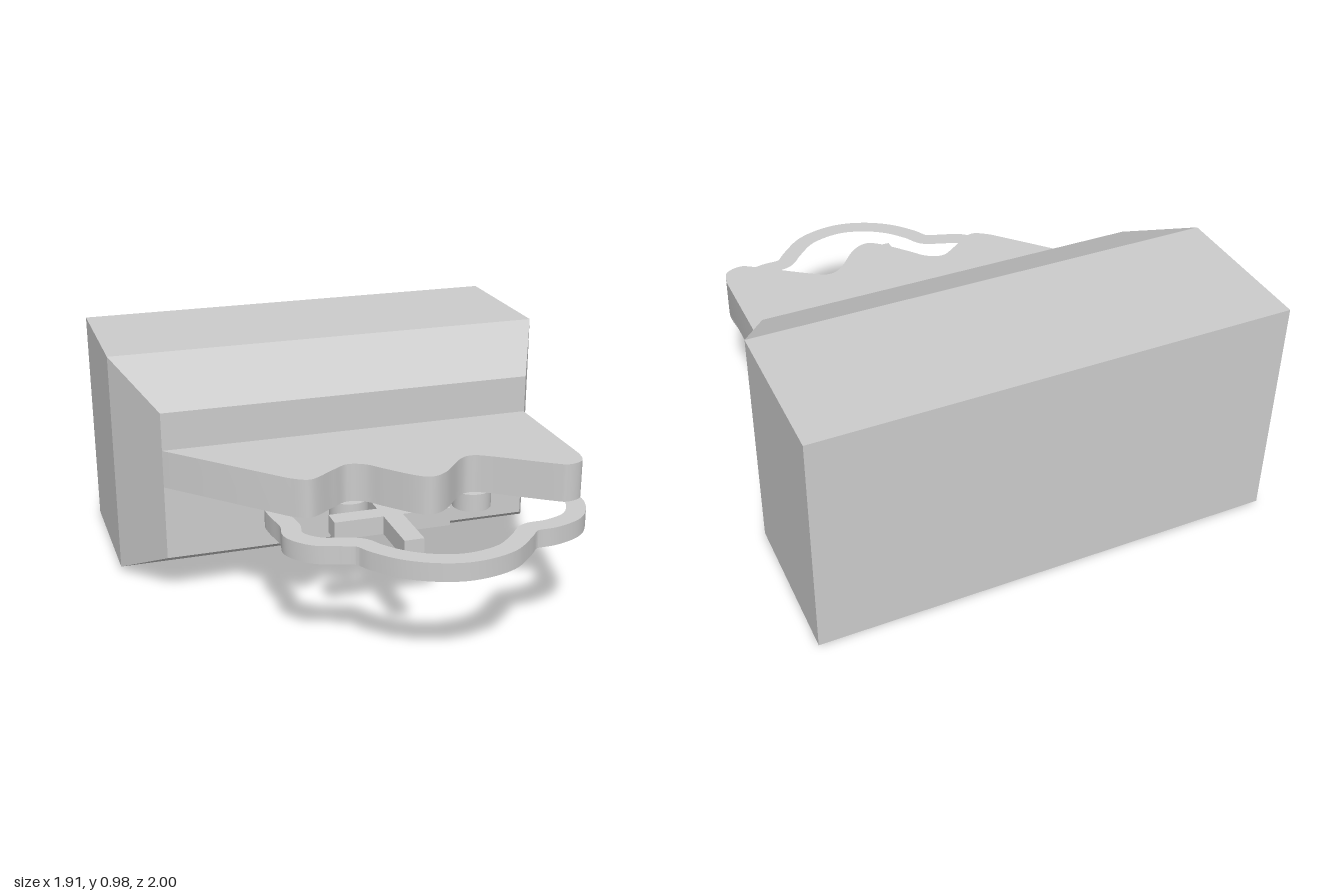
import * as THREE from 'three';
import { toCreasedNormals } from 'three/addons/utils/BufferGeometryUtils.js';

const material = new THREE.MeshStandardMaterial({ color: 0xcccccc });

function add(parent, name, geometry, x = 0, y = 0, z = 0) {
  const mesh = new THREE.Mesh(geometry, material);
  mesh.name = name;
  mesh.position.set(x, y, z);
  parent.add(mesh);
  return mesh;
}

const vectors = (pairs) => pairs.map(([x, z]) => new THREE.Vector2(x, z));

// Flat plate from an (x, z) outline, between two heights
function plate(outline, bottom, top, hole) {
  const shape = new THREE.Shape(outline);
  if (hole) shape.holes.push(new THREE.Path(hole));
  const geometry = new THREE.ExtrudeGeometry(shape, { depth: top - bottom, bevelEnabled: false });
  geometry.rotateX(Math.PI / 2).translate(0, top, 0);
  return toCreasedNormals(geometry, 0.6);
}

// Box whose front section tapers on all four sides
function bodyGeometry() {
  const box = new THREE.BoxGeometry(1.91, 0.96, 2, 1, 1, 2);
  const p = box.attributes.position;
  for (let i = 0; i < p.count; i++) {
    const z = p.getZ(i);
    if (z > 0.5) p.setXYZ(i, Math.sign(p.getX(i)) * 0.8, Math.sign(p.getY(i)) * 0.32, -0.045);
    else if (z > -0.5) p.setZ(i, -0.36);
  }
  const flat = box.toNonIndexed();
  flat.computeVertexNormals();
  return flat;
}

// Band of constant width along a closed lobed path
function lobedRing() {
  const path = new THREE.CatmullRomCurve3([
    [0.15, 0.96], [0.3, 0.925], [0.4, 0.84], [0.46, 0.78], [0.56, 0.77], [0.67, 0.72],
    [0.735, 0.6], [0.73, 0.45], [0.72, 0.32], [0.64, 0.21], [0.45, 0.13], [0.2, 0.045],
    [-0.05, 0.1], [-0.3, 0.2], [-0.42, 0.29], [-0.425, 0.36], [-0.41, 0.48], [-0.42, 0.57],
    [-0.36, 0.65], [-0.27, 0.685], [-0.2, 0.715], [-0.16, 0.78], [-0.08, 0.87], [0.03, 0.935],
  ].map(([x, z]) => new THREE.Vector3(x, 0, z)), true);
  const edges = [-0.039, 0.039].map((offset) => {
    const points = [];
    for (let i = 0; i < 160; i++) {
      const c = path.getPoint(i / 160), t = path.getTangent(i / 160);
      points.push(new THREE.Vector2(c.x - t.z * offset, c.z + t.x * offset));
    }
    return points;
  });
  const [outer, inner] = edges.sort((a, b) =>
    Math.abs(THREE.ShapeUtils.area(b)) - Math.abs(THREE.ShapeUtils.area(a)));
  return plate(outer, 0.425, 0.5, inner);
}

export function createModel() {
  const model = new THREE.Group();
  model.name = 'model';

  // Housing and base
  add(model, 'body', bodyGeometry(), 0, 0.5, 0);
  add(model, 'basePlate', new THREE.BoxGeometry(1.76, 0.03, 0.47), 0, 0.015, -0.675);

  // Slanted tongue with a wavy front edge
  const wave = new THREE.SplineCurve(vectors([
    [-0.39, 0.395], [-0.31, 0.435], [-0.2, 0.365], [-0.13, 0.325], [-0.06, 0.35], [0, 0.42],
    [0.09, 0.52], [0.15, 0.55], [0.22, 0.515], [0.31, 0.415], [0.37, 0.385], [0.44, 0.415],
    [0.65, 0.565], [0.71, 0.595], [0.775, 0.57], [0.797, 0.5],
  ])).getPoints(120);
  add(model, 'wavyTongue', plate(
    [...vectors([[0.797, -0.1], [-0.8, -0.1], [-0.8, -0.045]]), ...wave], 0.5, 0.66));

  // Lobed ring with the small pieces inside it
  add(model, 'lobedRing', lobedRing());
  const a = 0.04, l = 0.24, c = 0.47, f = 0.28;
  add(model, 'cross', plate(vectors([
    [-a, c - f], [a, c - f], [a, c - a], [l, c - a], [l, c + a], [a, c + a],
    [a, c + f], [-a, c + f], [-a, c + a], [-l, c + a], [-l, c - a], [-a, c - a],
  ]), 0.425, 0.5));
  for (const [x, z] of [[-0.11, 0.28], [0.4, 0.34]])
    add(model, 'disc', new THREE.CylinderGeometry(0.08, 0.08, 0.075, 32), x, 0.4625, z);

  return model;
}
